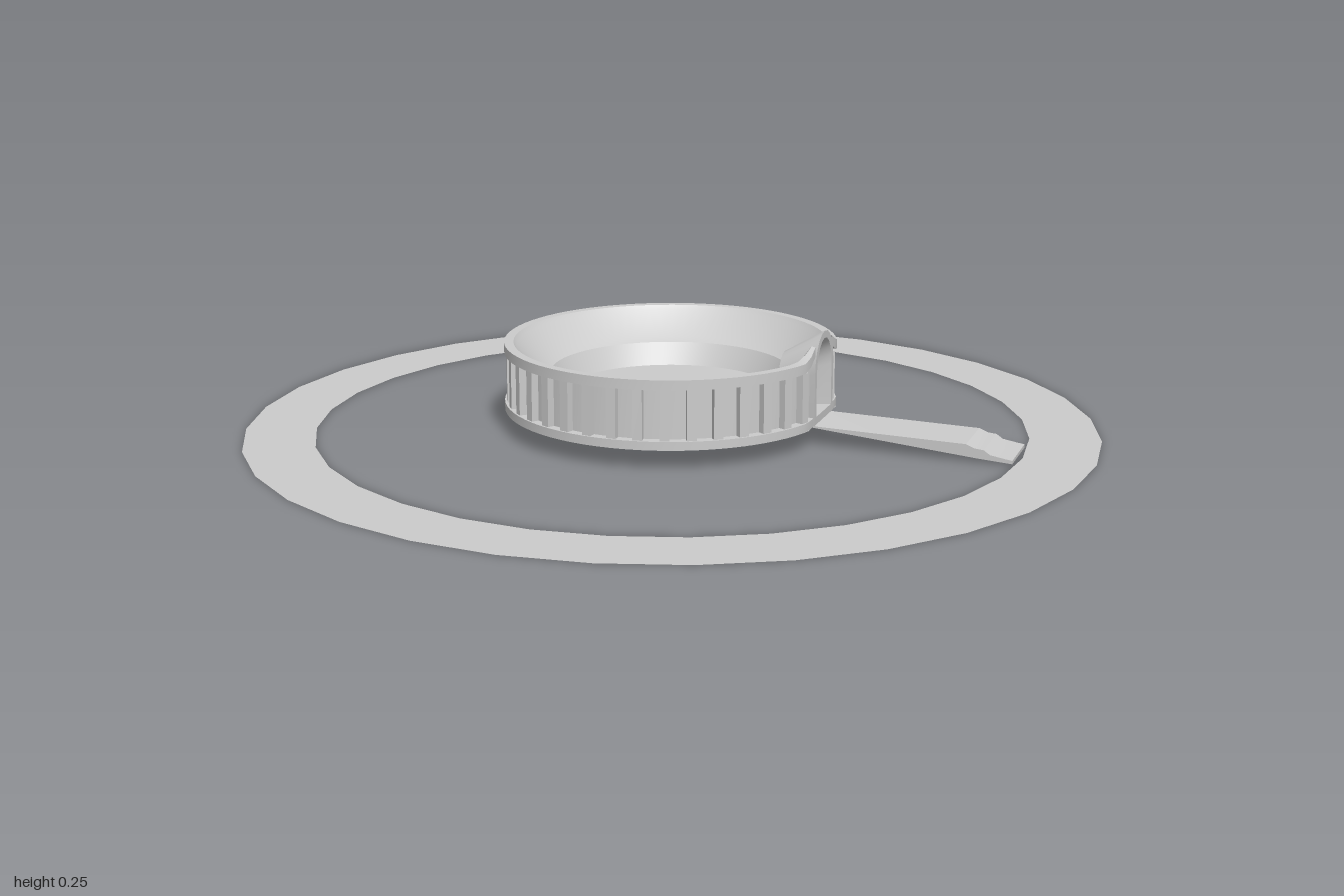
import * as THREE from 'three';
import { toCreasedNormals } from 'three/addons/utils/BufferGeometryUtils.js';

const material = new THREE.MeshStandardMaterial({ color: 0xcccccc, side: THREE.DoubleSide });

function addMesh(parent, name, geometry, crease = 0.6) {
  const mesh = new THREE.Mesh(toCreasedNormals(geometry, crease), material);
  mesh.name = name;
  parent.add(mesh);
  return mesh;
}

function moveVertices(geometry, rule) {
  const p = geometry.attributes.position;
  const v = new THREE.Vector3();
  for (let i = 0; i < p.count; i++) {
    v.fromBufferAttribute(p, i);
    rule(v);
    p.setXYZ(i, v.x, v.y, v.z);
  }
  return geometry;
}

// Cuts the bowl flat at the spout side and swells the rim up over the spout
function shapeAtSpout(v) {
  if (v.x > 0 && v.y > 0.17 && Math.abs(v.z) < 0.14) {
    v.y += 0.045 * Math.cos((Math.PI / 2) * v.z / 0.14) ** 2;
  }
  v.x = Math.min(v.x, 0.372);
}

// Arch outline with straight legs and a half-elliptical head
function archPoints(halfWidth, base, spring, top) {
  const points = [new THREE.Vector2(halfWidth, base)];
  for (let i = 0; i <= 10; i++) {
    const a = (i / 10) * Math.PI;
    points.push(new THREE.Vector2(halfWidth * Math.cos(a), spring + (top - spring) * Math.sin(a)));
  }
  points.push(new THREE.Vector2(-halfWidth, base));
  return points;
}

export function createModel() {
  const model = new THREE.Group();
  model.name = 'dishWithSpoutAndRing';

  // Flat ground ring
  addMesh(model, 'groundRing', new THREE.RingGeometry(0.835, 1, 32).rotateX(-Math.PI / 2));

  const dish = new THREE.Group();
  dish.name = 'dish';
  dish.position.set(-0.005, 0, -0.005);
  model.add(dish);

  // Bowl wall with two flanges, open where the spout passes through
  const profile = [
    [0.255, 0.078], [0.282, 0.13], [0.30, 0.14], [0.36, 0.195], [0.368, 0.205], [0.39, 0.205],
    [0.39, 0.182], [0.368, 0.18], [0.368, 0.066], [0.39, 0.066], [0.39, 0.046],
  ].map(([r, y]) => new THREE.Vector2(r, y));
  const gap = 0.17;
  const wall = new THREE.LatheGeometry(profile, 72, Math.PI / 2 + gap, Math.PI * 2 - 2 * gap);
  addMesh(dish, 'bowlWall', moveVertices(wall, shapeAtSpout), 0.5);

  // Bowl floor and underside
  for (const [name, radius, y] of [['bowlFloor', 0.256, 0.078], ['underside', 0.39, 0.046]]) {
    const disc = new THREE.CircleGeometry(radius, 64).rotateX(-Math.PI / 2).translate(0, y, 0);
    addMesh(dish, name, moveVertices(disc, shapeAtSpout));
  }

  // Upright ribs between the flanges
  const ribCount = 40;
  for (let i = 2; i < ribCount - 1; i++) {
    const rib = new THREE.BoxGeometry(0.022, 0.116, 0.022).translate(0.374, 0.123, 0);
    rib.rotateY((i / ribCount) * Math.PI * 2);
    addMesh(dish, 'rib', moveVertices(rib, (v) => { v.x = Math.min(v.x, 0.372); }));
  }

  // Hooded spout tunnel, widening and rising towards the outside
  const arch = new THREE.Shape(archPoints(0.075, 0.048, 0.17, 0.255));
  arch.holes.push(new THREE.Path(archPoints(0.06, 0.066, 0.165, 0.238)));
  const spout = new THREE.ExtrudeGeometry(arch, { depth: 1, steps: 3, bevelEnabled: false });
  moveVertices(spout, (v) => {
    const t = v.z;
    v.x *= 0.65 + 0.35 * t;
    v.y = 0.05 + (v.y - 0.05) * (0.73 + 0.27 * t);
    v.z = 0.28 + 0.095 * t;
  });
  addMesh(dish, 'spout', spout.rotateY(Math.PI / 2), 0.5);

  // Sloping tongue from the spout down to the ring, stepped at its tip
  const side = new THREE.Shape([
    [0.35, 0.05], [0.38, 0.047], [0.72, 0.04], [0.74, 0.032], [0.76, 0.03],
    [0.775, 0.02], [0.81, 0.014], [0.825, 0.012], [0.825, 0.004], [0.74, 0.01], [0.35, 0.045],
  ].map(([x, y]) => new THREE.Vector2(x, y)));
  const tongue = new THREE.ExtrudeGeometry(side, { depth: 0.14, bevelEnabled: false });
  addMesh(model, 'tongue', tongue.translate(0, 0, -0.072), 0.3);

  return model;
}
